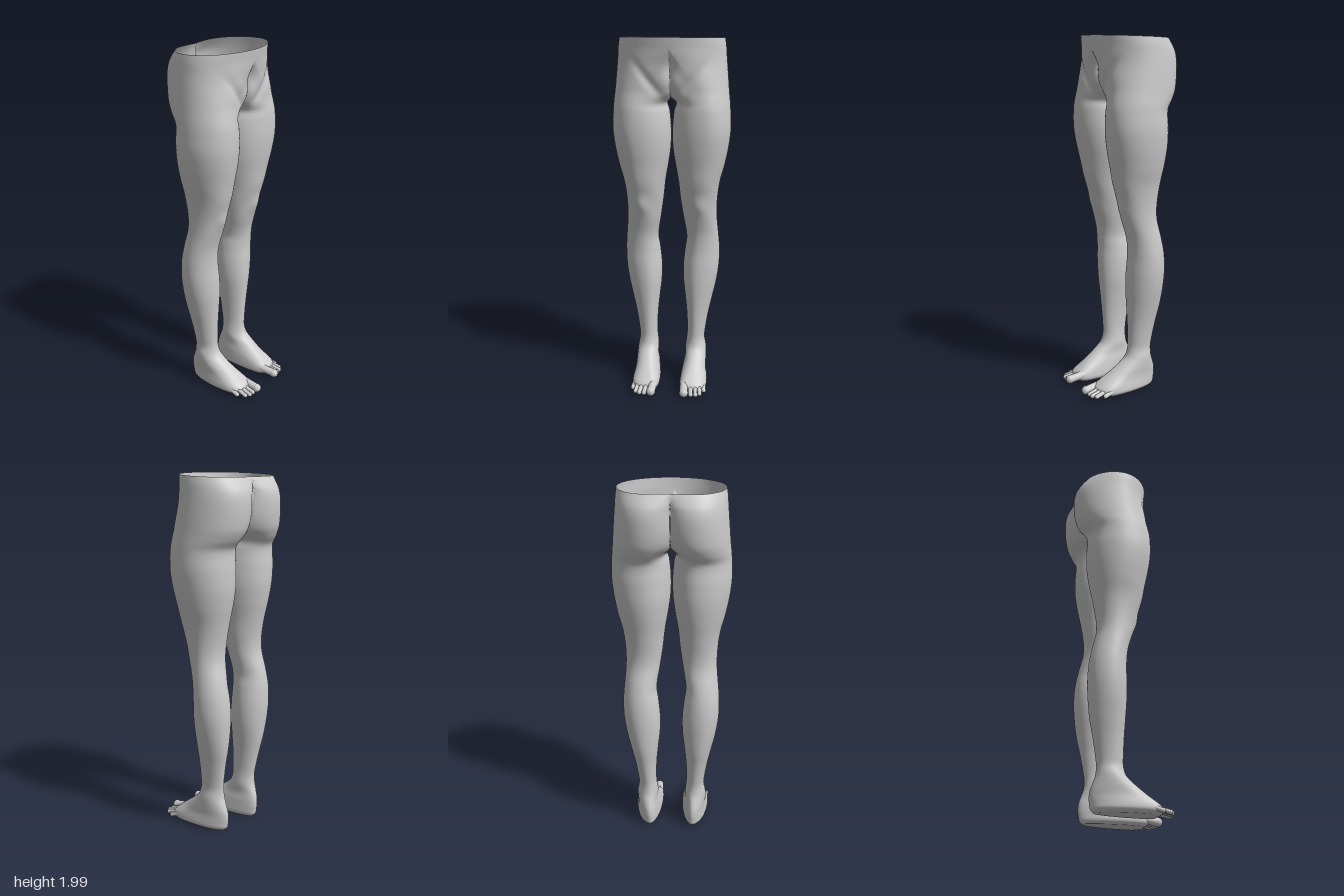
import * as THREE from 'three';
import { mergeVertices } from 'three/addons/utils/BufferGeometryUtils.js';

// Outline of one leg by height: [y, outer x, inner x] (inner x below 0 joins the other leg)
const SIDES = [
  [0.008, 0.192, 0.075], [0.025, 0.212, 0.061], [0.05, 0.214, 0.06], [0.1, 0.204, 0.069],
  [0.15, 0.203, 0.08], [0.2, 0.2, 0.08], [0.25, 0.191, 0.086], [0.3, 0.195, 0.089],
  [0.4, 0.211, 0.085], [0.5, 0.233, 0.075], [0.6, 0.255, 0.064], [0.7, 0.269, 0.063],
  [0.8, 0.271, 0.073], [0.87, 0.266, 0.082], [1.0, 0.255, 0.063], [1.1, 0.257, 0.048],
  [1.2, 0.27, 0.037], [1.3, 0.296, 0.02], [1.4, 0.316, 0.006], [1.5, 0.327, 0.004],
  [1.6, 0.324, 0.013], [1.645, 0.321, 0.024], [1.672, 0.318, -0.004], [1.7, 0.315, -0.035],
  [1.78, 0.308, -0.06], [1.9, 0.298, -0.07], [1.96, 0.294, -0.12], [2.0, 0.288, -0.19],
];
// [y, front z, back z]
const DEPTHS = [
  [0.008, 0.185, -0.147], [0.025, 0.212, -0.163], [0.05, 0.213, -0.168], [0.08, 0.18, -0.172],
  [0.12, 0.125, -0.168], [0.16, 0.07, -0.155], [0.2, 0.024, -0.141], [0.25, 0.006, -0.137],
  [0.3, 0.004, -0.143], [0.4, 0.008, -0.16], [0.5, 0.014, -0.18], [0.6, 0.02, -0.191],
  [0.7, 0.02, -0.196], [0.8, 0.016, -0.191], [0.9, 0.024, -0.173], [1.0, 0.05, -0.149],
  [1.08, 0.066, -0.149], [1.2, 0.103, -0.169], [1.3, 0.122, -0.19], [1.4, 0.141, -0.205],
  [1.5, 0.153, -0.207], [1.61, 0.153, -0.206], [1.66, 0.146, -0.24], [1.72, 0.138, -0.268],
  [1.84, 0.143, -0.282], [1.92, 0.158, -0.273], [1.97, 0.166, -0.25], [2.0, 0.17, -0.23],
];
// [y, x of front ridge, x of back ridge, z of widest point, squareness of front]
const RIDGES = [
  [0.008, 0.11, 0.125, 0.1, 2.8], [0.06, 0.11, 0.125, 0.09, 2.8], [0.12, 0.125, 0.128, 0.01, 2.2],
  [0.2, 0.138, 0.132, -0.055, 2], [0.3, 0.138, 0.14, -0.065, 2], [0.6, 0.145, 0.165, -0.085, 2],
  [0.8, 0.16, 0.17, -0.085, 2], [1.05, 0.16, 0.155, -0.05, 2.2], [1.3, 0.17, 0.15, -0.035, 2.1],
  [1.5, 0.185, 0.15, -0.025, 2.1], [1.66, 0.18, 0.14, -0.03, 2], [1.76, 0.145, 0.128, -0.045, 2],
  [1.88, 0.05, 0.122, -0.05, 2], [1.95, 0, 0.118, -0.045, 2], [2.0, 0, 0.11, -0.045, 2],
];

// Smooth (Hermite) lookup of a table row at height y
function sample(table, y) {
  let i = 0;
  while (i < table.length - 2 && y > table[i + 1][0]) i++;
  const a = table[i], b = table[i + 1];
  const p = table[Math.max(i - 1, 0)], q = table[Math.min(i + 2, table.length - 1)];
  const h = b[0] - a[0], t = (y - a[0]) / h;
  return a.slice(1).map((_, k) => {
    const c = k + 1;
    const ma = (b[c] - p[c]) / (b[0] - p[0]) * h, mb = (q[c] - a[c]) / (q[0] - a[0]) * h;
    return a[c] * (2 * t ** 3 - 3 * t * t + 1) + ma * (t ** 3 - 2 * t * t + t)
      + b[c] * (3 * t * t - 2 * t ** 3) + mb * (t ** 3 - t * t);
  });
}

const hump = (d, width) => Math.exp(-((d / width) ** 2));

// One point of the leg surface; angle runs outer side, front, inner side, back
function surfacePoint(y, angle) {
  const [outer, inner] = sample(SIDES, y);
  const [front, back] = sample(DEPTHS, y);
  const [frontX, backX, midZ, square] = sample(RIDGES, y);
  const c = Math.cos(angle), s = Math.sin(angle);
  const power = s > 0 ? 2 / square : 1;
  const ridge = s > 0 ? Math.max(0, frontX) : backX;
  const reach = (c > 0 ? outer : inner) - ridge;
  let x = ridge + reach * Math.abs(c) ** power;
  let z = midZ + ((s > 0 ? front : back) - midZ) * Math.abs(s) ** power;
  x = x < 1e-4 && y > 1.6 ? 0 : x;
  if (s > 0) {
    z += s * 0.014 * hump(x - 0.16, 0.045) * hump(y - 1.07, 0.05);            // kneecap
    z += s * 0.04 * hump(x, 0.055) * hump(y - 1.75, 0.07);                    // pubic mound
    const line = (y - 1.7) - (x - 0.05) * 1.15;                               // groin crease
    z -= s * 0.013 * hump(line, 0.035) * hump(x - 0.12, 0.07);
  }
  const tilt = 0.016 * THREE.MathUtils.smoothstep(y, 1.85, 2) * (0.17 - z) / 0.4;
  return [x, y - tilt, z];
}

// Both legs and the hips as one open-topped skin
function skinGeometry() {
  const rows = 170, around = 88, positions = [], index = [];
  for (const side of [1, -1]) {
    const start = positions.length / 3;
    for (let r = 0; r <= rows; r++) {
      const y = 0.008 + 1.992 * (r / rows) ** 1.25;
      for (let k = 0; k < around; k++) {
        const [x, py, z] = surfacePoint(y, (k / around) * Math.PI * 2);
        positions.push(x * side, py, z);
      }
    }
    const sole = positions.length / 3;
    positions.push(0.13 * side, 0.012, 0.03);
    const face = (a, b, c) => {
      // the inside wall between the hip halves is left out
      if ([a, b, c].every((v) => positions[v * 3] === 0)) return;
      if (side > 0) index.push(a, b, c); else index.push(a, c, b);
    };
    for (let k = 0; k < around; k++) {
      const n = (k + 1) % around;
      face(start + k, start + n, sole);
      for (let r = 0; r < rows; r++) {
        const low = start + r * around, high = low + around;
        face(low + k, high + k, low + n);
        face(high + k, high + n, low + n);
      }
    }
  }
  const geometry = new THREE.BufferGeometry();
  geometry.setAttribute('position', new THREE.Float32BufferAttribute(positions, 3));
  geometry.setIndex(index);
  const merged = mergeVertices(geometry, 1e-5);
  merged.computeVertexNormals();
  return merged;
}

// Toes: [name, tip x, tip z, radius, base x, base z]
const TOES = [
  ['bigToe', 0.094, 0.285, 0.023, 0.088, 0.17],
  ['secondToe', 0.133, 0.271, 0.0125, 0.125, 0.17],
  ['middleToe', 0.16, 0.269, 0.012, 0.15, 0.16],
  ['fourthToe', 0.183, 0.253, 0.012, 0.173, 0.15],
  ['littleToe', 0.203, 0.209, 0.0125, 0.196, 0.12],
];

function toeMesh([name, tipX, tipZ, radius, baseX, baseZ], side, material) {
  const tip = new THREE.Vector3(tipX * side, 0.014 + radius, tipZ - radius);
  const base = new THREE.Vector3(baseX * side, 0.05, baseZ);
  const geometry = new THREE.CapsuleGeometry(radius, base.distanceTo(tip), 8, 18);
  const toe = new THREE.Mesh(geometry, material);
  toe.name = name;
  toe.position.lerpVectors(base, tip, 0.5);
  toe.quaternion.setFromUnitVectors(new THREE.Vector3(0, 1, 0), tip.clone().sub(base).normalize());
  // rounder pad at the end
  const pad = new THREE.Mesh(new THREE.SphereGeometry(radius * 1.1, 18, 12), material);
  pad.name = name + 'Pad';
  pad.position.y = base.distanceTo(tip) / 2 - radius * 0.1;
  toe.add(pad);
  return toe;
}

export function createModel() {
  const model = new THREE.Group();
  model.name = 'lowerBody';
  const material = new THREE.MeshStandardMaterial({ color: 0xcccccc, side: THREE.DoubleSide });

  const skin = new THREE.Mesh(skinGeometry(), material);
  skin.name = 'hipsAndLegs';
  model.add(skin);

  for (const side of [1, -1]) {
    const toes = new THREE.Group();
    toes.name = side > 0 ? 'leftToes' : 'rightToes';
    TOES.forEach((row) => toes.add(toeMesh(row, side, material)));
    model.add(toes);
  }
  return model;
}
